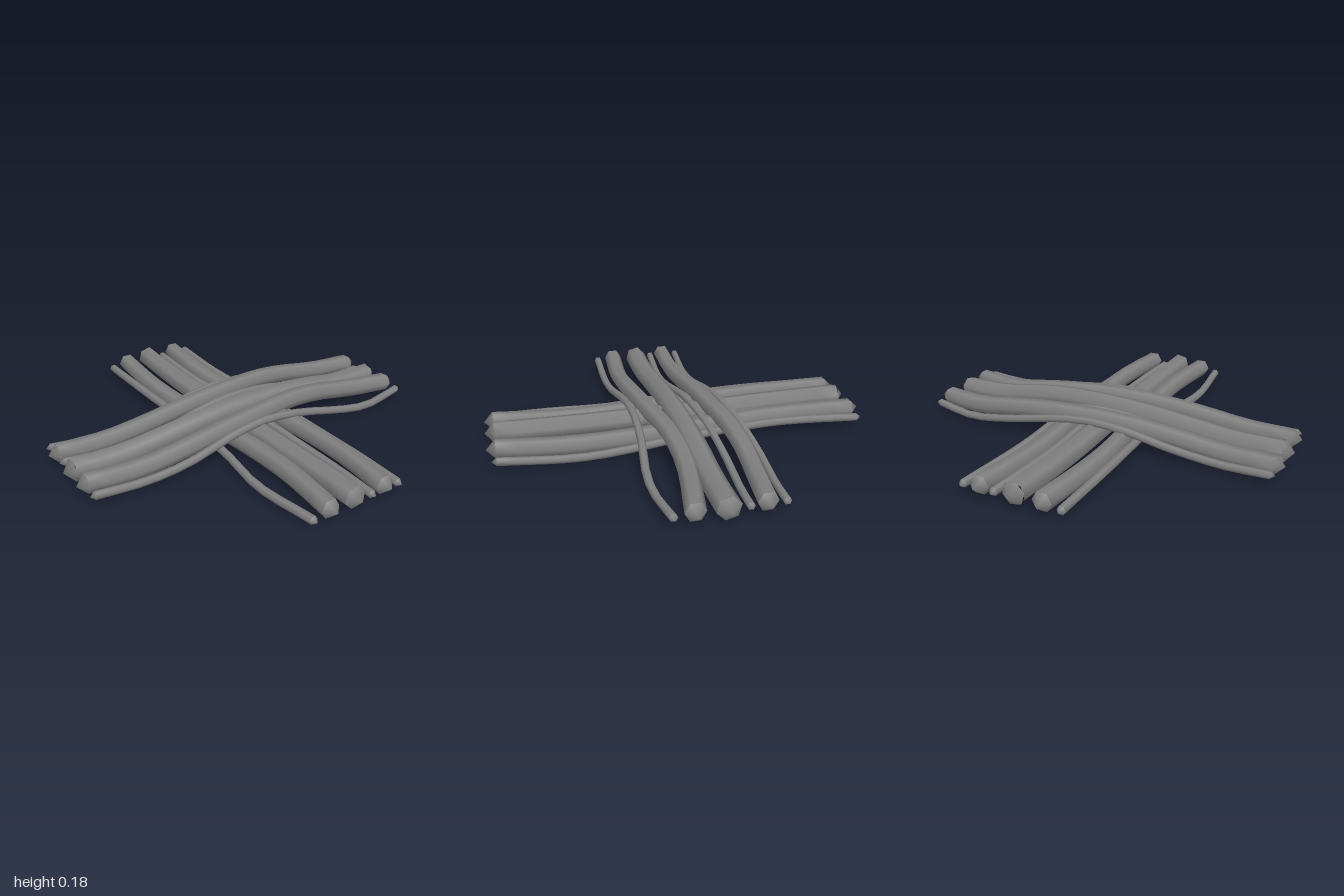
import * as THREE from 'three';
import { mergeGeometries, mergeVertices } from 'three/addons/utils/BufferGeometryUtils.js';

const SIDES = 6, HALF = 0.95;

// Interpolates a smooth value at position z from [z, value] pairs
function sampler(pts) {
  const curve = new THREE.CatmullRomCurve3(pts.map(([z, v]) => new THREE.Vector3(v, 0, z)));
  const samples = curve.getPoints(160);
  return (z) => {
    let i = 1;
    while (i < samples.length - 1 && samples[i].z < z) i++;
    const a = samples[i - 1], b = samples[i];
    return THREE.MathUtils.lerp(a.x, b.x, (z - a.z) / (b.z - a.z));
  };
}

// Rod along z, bent sideways and up by two profiles, with softly shaded pointed ends
function rodGeometry(radius, sway, lift, roll) {
  const side = sampler(sway), up = sampler(lift);
  const start = Math.PI / 2 + roll;
  const tip = radius > 0.03 ? 0.048 : 0.025;
  const body = new THREE.CylinderGeometry(radius, radius, 2 * HALF, SIDES, 18, true, start);
  const front = new THREE.ConeGeometry(radius, tip, SIDES, 1, true, start);
  front.translate(0, HALF + tip / 2, 0);
  const back = front.clone().rotateZ(Math.PI);
  return mergeGeometries([body, front, back].map((part) => {
    part.rotateX(Math.PI / 2);
    part.deleteAttribute('normal');
    part.deleteAttribute('uv');
    const p = part.attributes.position;
    for (let i = 0; i < p.count; i++) {
      const z = THREE.MathUtils.clamp(p.getZ(i), -HALF, HALF);
      p.setXY(i, p.getX(i) + side(z), p.getY(i) + up(z));
    }
    const smooth = mergeVertices(part);
    smooth.computeVertexNormals();
    return smooth;
  }));
}

// Height profiles for the flat lower layer and the arched upper layer
const lowThick = [[-HALF, 0.067], [-0.5, 0.06], [0, 0.058], [0.5, 0.06], [HALF, 0.067]];
const lowThin = [[-HALF, 0.05], [-0.5, 0.06], [0, 0.055], [0.5, 0.03], [HALF, 0.045]];
const highThick = [[-HALF, 0.066], [-0.7, 0.062], [-0.45, 0.088], [-0.2, 0.115], [0, 0.125],
  [0.25, 0.125], [0.45, 0.107], [0.7, 0.07], [HALF, 0.066]];
const highThin = [[-HALF, 0.055], [-0.7, 0.04], [-0.45, 0.06], [-0.2, 0.11], [0, 0.13],
  [0.2, 0.115], [0.45, 0.07], [0.72, 0.033], [HALF, 0.055]];

// Each rod: radius, sideways positions at the stations, roll, height offset
const stations = [-HALF, -0.5, 0, 0.3, 0.6, HALF];
const lower = [
  [0.022, [-0.26, -0.268, -0.255, -0.255, -0.288, -0.26], 0, 0],
  [0.05, [-0.165, -0.19, -0.16, -0.13, -0.125, -0.165], 0, 0],
  [0.06, [-0.02, -0.035, -0.022, -0.018, -0.017, -0.02], 0.25, 0.003],
  [0.021, [0.085, 0.055, 0.085, 0.11, 0.115, 0.085], 0, 0],
  [0.05, [0.16, 0.13, 0.165, 0.195, 0.2, 0.16], 0, 0],
  [0.021, [0.25, 0.215, 0.25, 0.276, 0.283, 0.25], 0, 0],
];
const upper = [
  [0.02, [-0.252, -0.222, -0.25, -0.284, -0.288, -0.252], 0, 0],
  [0.05, [-0.163, -0.148, -0.175, -0.202, -0.204, -0.163], 0, 0],
  [0.02, [-0.085, -0.058, -0.085, -0.112, -0.115, -0.085], 0, 0],
  [0.06, [0.014, 0.02, 0.018, 0.017, 0.015, 0.014], 0.25, -0.006],
  [0.05, [0.163, 0.19, 0.155, 0.11, 0.102, 0.163], 0, 0],
  [0.021, [0.26, 0.27, 0.24, 0.252, 0.288, 0.26], 0, 0],
];

export function createModel() {
  const model = new THREE.Group();
  model.name = 'crossedSticks';
  const material = new THREE.MeshStandardMaterial({ color: 0x808080 });

  const addLayer = (name, rods, thick, thin, sign) => {
    const layer = new THREE.Group();
    layer.name = name;
    rods.forEach(([radius, sway, roll, offset], i) => {
      const isThick = radius > 0.03;
      const path = stations.map((z, k) => [z, sign * sway[k]]);
      const lift = (isThick ? thick : thin).map(([z, y]) => [z, y + offset]);
      const rod = new THREE.Mesh(rodGeometry(radius, path, lift, roll), material);
      rod.name = `${isThick ? 'thickStick' : 'thinStick'}${i + 1}`;
      layer.add(rod);
    });
    model.add(layer);
    return layer;
  };

  // Lower sticks run front to back; upper ones are turned to lie across them
  addLayer('lowerSticks', lower, lowThick, lowThin, 1);
  addLayer('upperSticks', upper, highThick, highThin, -1).rotation.y = Math.PI / 2;
  return model;
}
